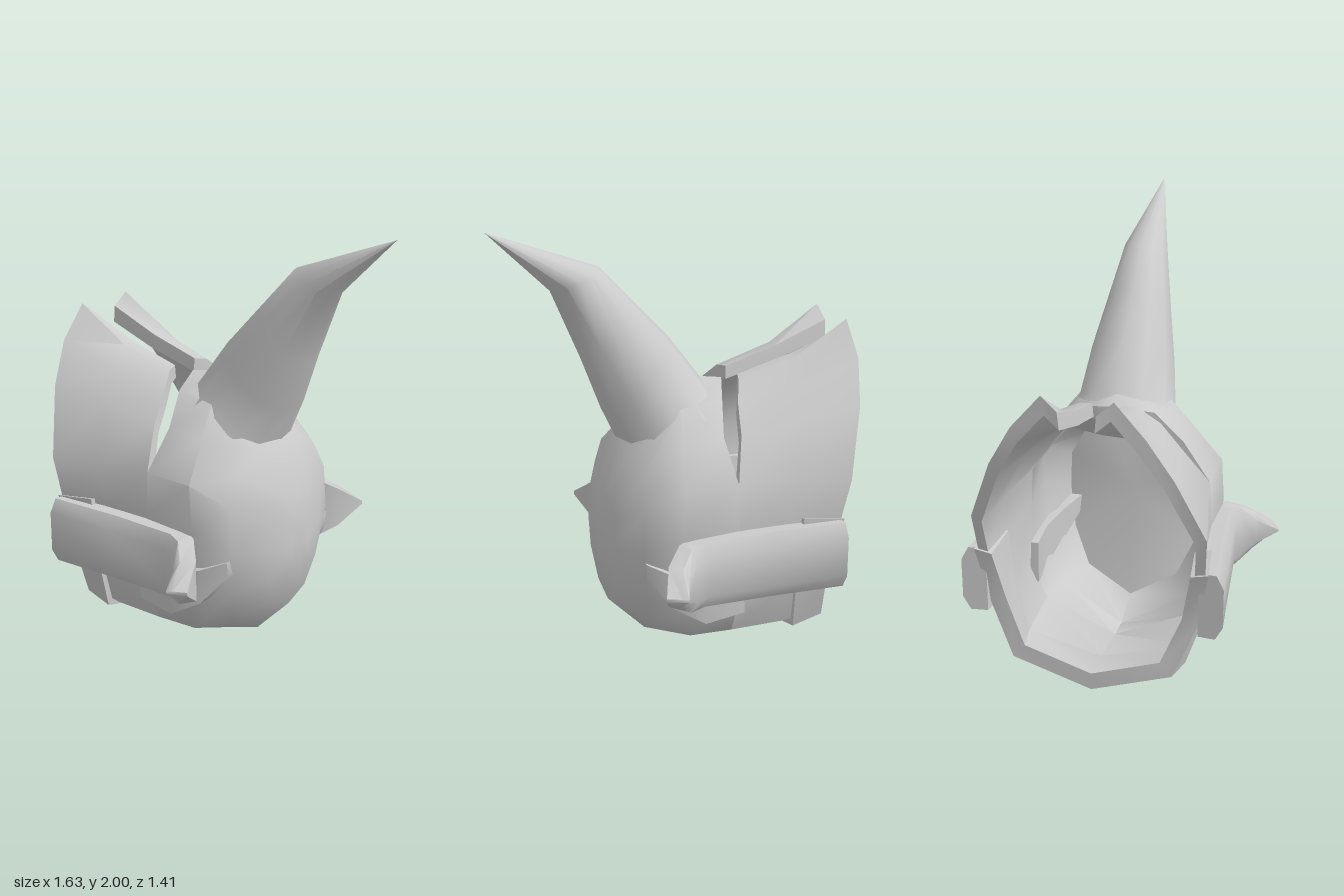
import * as THREE from 'three';
import { toCreasedNormals } from 'three/addons/utils/BufferGeometryUtils.js';

const material = new THREE.MeshStandardMaterial({ color: 0xcccccc, side: THREE.DoubleSide });

// Skin closed rings of [x, y, z] points, with a fan over both ends
function loft(name, rings, crease = 0.85) {
  const n = rings[0].length, pos = rings.flat(2), index = [];
  for (let r = 0; r < rings.length - 1; r++) {
    for (let i = 0; i < n; i++) {
      const a = r * n + i, b = r * n + (i + 1) % n;
      index.push(a, b, b + n, a, b + n, a + n);
    }
  }
  [0, rings.length - 1].forEach((r, end) => {
    const c = pos.length / 3;
    for (let k = 0; k < 3; k++) pos.push(rings[r].reduce((s, p) => s + p[k], 0) / n);
    for (let i = 0; i < n; i++) {
      const a = r * n + i, b = r * n + (i + 1) % n;
      if (end) index.push(a, b, c); else index.push(b, a, c);
    }
  });
  // turn the faces outward if the enclosed volume is negative
  const v = i => new THREE.Vector3().fromArray(pos, i * 3);
  let volume = 0;
  for (let i = 0; i < index.length; i += 3)
    volume += v(index[i]).dot(v(index[i + 1]).cross(v(index[i + 2])));
  if (volume < 0) index.reverse();
  const g = new THREE.BufferGeometry();
  g.setAttribute('position', new THREE.Float32BufferAttribute(pos, 3));
  g.setIndex(index);
  const mesh = new THREE.Mesh(toCreasedNormals(g, crease), material);
  mesh.name = name;
  return mesh;
}

const flip = ([x, y, z]) => [x, y, -z];
// scale a point about the long axis of the shell
const scaled = (s, dx = 0) => ([x, y, z]) => [x + dx, 0.6 + (y - 0.6) * s, z * s];
// half section (bottom to top) to open path or closed ring
const openPath = h => [...h.slice(1).reverse().map(flip), ...h];
const ring = h => [...h, ...h.slice(1, -1).reverse().map(flip)];

// Thick curved wall: stations are open paths, swept around the section
function wall(name, halves, thickness) {
  const outer = halves.map(openPath);
  const inner = outer.map(p => p.map(scaled(thickness))).reverse();
  const loops = outer[0].map((_, i) => [...outer, ...inner].map(p => p[i]));
  return loft(name, loops, 0.7);
}

export function createModel() {
  const model = new THREE.Group();

  // Rear shell, open at the back and split along the top into two plates
  const rear = [
    [-0.63, 0.07, 0], [-0.62, 0.18, 0.35], [-0.59, 0.42, 0.45], [-0.64, 0.70, 0.50],
    [-0.68, 0.88, 0.51], [-0.77, 1.18, 0.39], [-0.81, 1.37, 0.28], [-0.81, 1.52, 0.15], [-0.82, 1.46, 0.08]];
  const middle = [
    [-0.45, 0.06, 0], [-0.42, 0.17, 0.37], [-0.40, 0.38, 0.45], [-0.40, 0.70, 0.46],
    [-0.43, 0.90, 0.47], [-0.48, 1.14, 0.36], [-0.53, 1.27, 0.25], [-0.56, 1.36, 0.14], [-0.56, 1.36, 0.075]];
  const slot = [
    [-0.20, 0.02, 0], [-0.17, 0.17, 0.37], [-0.17, 0.35, 0.45], [-0.17, 0.70, 0.44],
    [-0.17, 0.90, 0.43], [-0.23, 1.08, 0.31], [-0.25, 1.20, 0.22], [-0.29, 1.28, 0.13], [-0.31, 1.29, 0.07]];
  model.add(wall('rearShell', [rear, middle, slot], 0.91));

  // Raised band around the lower rear rim
  const bandRear = rear.slice(0, 4).map(scaled(1.03, -0.01));
  const bandFront = [[-0.48, 0.06, 0], [-0.47, 0.16, 0.38], [-0.44, 0.40, 0.46], [-0.46, 0.72, 0.48]].map(scaled(1.03));
  model.add(wall('rearRimBand', [bandRear, bandFront], 0.85));

  // Front shell with rounded dome, hollow from behind
  const front = [
    [[-0.20, 0.02, 0], [-0.17, 0.17, 0.37], [-0.17, 0.35, 0.45], [-0.17, 0.70, 0.44],
      [-0.17, 0.90, 0.43], [-0.15, 1.08, 0.30], [-0.19, 1.22, 0.18], [-0.26, 1.26, 0]],
    [[-0.07, 0.00, 0], [0.02, 0.16, 0.34], [0.06, 0.35, 0.43], [0.10, 0.70, 0.45],
      [0.08, 0.90, 0.44], [0.05, 1.06, 0.32], [0.02, 1.20, 0.21], [0.00, 1.30, 0]],
    [[0.12, 0.06, 0], [0.16, 0.19, 0.24], [0.22, 0.38, 0.33], [0.25, 0.60, 0.36],
      [0.24, 0.80, 0.35], [0.23, 0.93, 0.28], [0.23, 1.01, 0.16], [0.25, 1.04, 0]],
    [[0.30, 0.24, 0], [0.31, 0.30, 0.11], [0.32, 0.43, 0.18], [0.325, 0.58, 0.20],
      [0.32, 0.71, 0.19], [0.33, 0.78, 0.14], [0.34, 0.80, 0.08], [0.345, 0.80, 0]],
    [[0.35, 0.45, 0], [0.355, 0.47, 0.04], [0.36, 0.50, 0.06], [0.36, 0.55, 0.07],
      [0.36, 0.60, 0.06], [0.36, 0.64, 0.05], [0.36, 0.66, 0.03], [0.36, 0.67, 0]]];
  const hollow = front.slice(0, 3).reverse().map(h => h.map(scaled(0.91)));
  model.add(loft('frontShell', [...hollow, ...front].map(ring)));

  // Great horn: upper edge point, lower edge point, half width
  const hornSections = [
    [[-0.20, 1.20], [0.20, 0.90], 0.30],
    [[-0.15, 1.28], [0.25, 1.03], 0.225],
    [[0.00, 1.48], [0.32, 1.18], 0.195],
    [[0.16, 1.65], [0.41, 1.42], 0.15],
    [[0.32, 1.82], [0.54, 1.73], 0.10],
    [[0.815, 2.0], [0.813, 1.998], 0.002]];
  model.add(loft('horn', hornSections.map(([a, b, w]) =>
    Array.from({ length: 12 }, (_, i) => {
      const t = i / 12 * Math.PI * 2, k = (1 - Math.cos(t)) / 2;
      return [a[0] + (b[0] - a[0]) * k, a[1] + (b[1] - a[1]) * k, w * Math.sin(t)];
    })), 1.0));

  // Side guards ending in outward wedge tusks:
  // outer x, z, inner x, z, centre height, half height
  const guard = [
    [-0.64, 0.58, -0.63, 0.47, 0.545, 0.155],
    [-0.30, 0.55, -0.30, 0.42, 0.535, 0.155],
    [0.00, 0.525, 0.05, 0.42, 0.525, 0.152],
    [0.07, 0.55, 0.12, 0.46, 0.52, 0.150],
    [0.13, 0.61, 0.20, 0.54, 0.52, 0.095],
    [0.17, 0.705, 0.255, 0.665, 0.52, 0.008]];
  // Cheek plates below the guards, stepping out from the shell
  const cheek = [
    [[-0.19, 0.30], [-0.18, 0.50]], [[0.00, 0.28], [0.00, 0.50]],
    [[0.14, 0.36], [0.14, 0.52]], [[0.24, 0.49], [0.24, 0.56]]];
  const cheekZ = [0.47, 0.48, 0.44, 0.37];
  for (const side of [1, -1]) {
    const s = side > 0 ? 'left' : 'right';
    model.add(loft(s + 'GuardTusk', guard.map(([ox, oz, ix, iz, y, h]) => {
      const at = (k, dy) => [ox + (ix - ox) * k, y + dy * h, side * (oz + (iz - oz) * k)];
      return [at(1, 1), at(0.3, 1), at(0, 0.6), at(0, -0.6), at(0.3, -1), at(1, -1)];
    }), 0.95));
    model.add(loft(s + 'CheekPlate', cheek.map(([a, b], i) => {
      const z = cheekZ[i];
      return [[...a, side * z], [...b, side * (z + 0.01)], [...b, side * (z - 0.1)], [...a, side * (z - 0.1)]];
    })));
  }
  return model;
}
